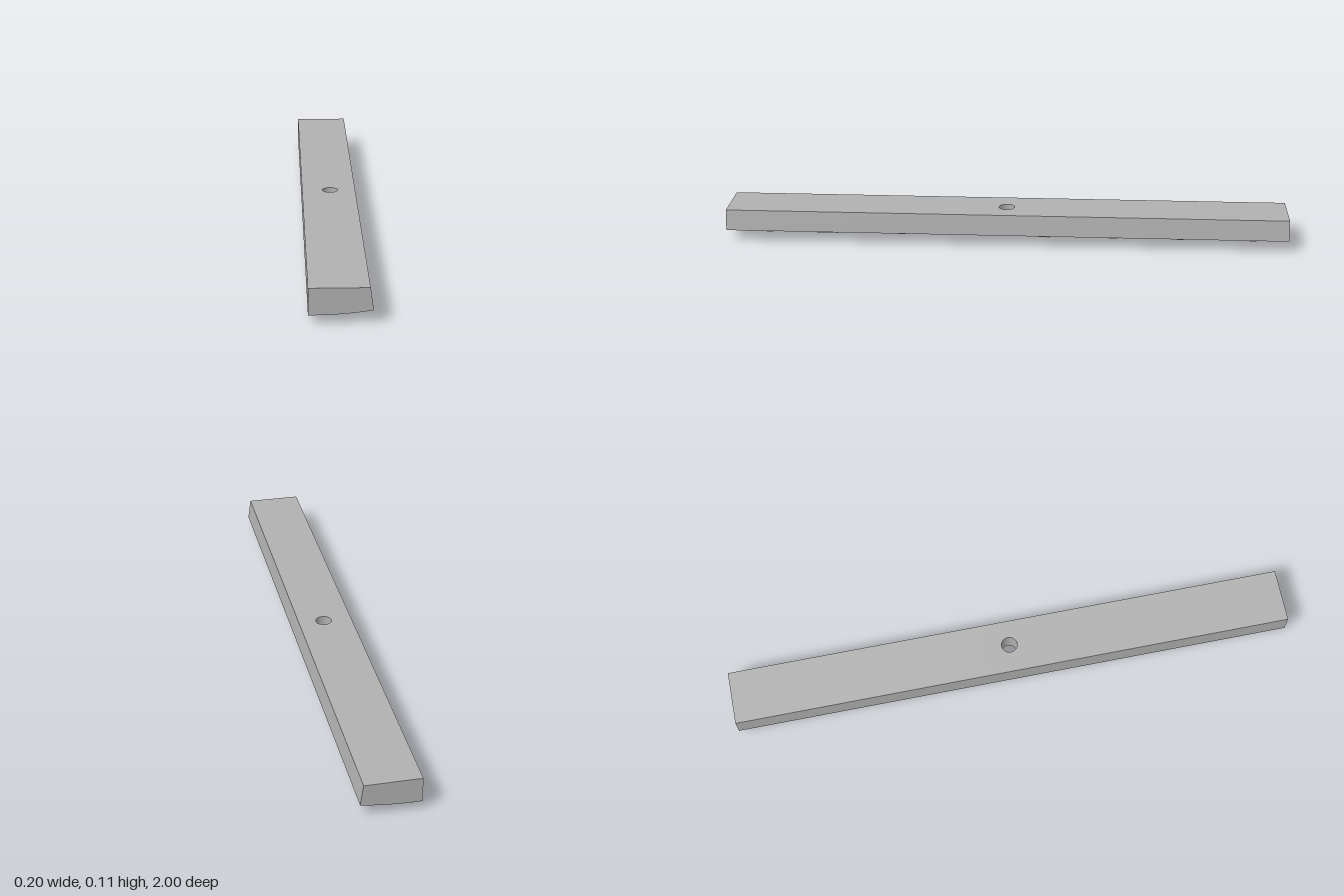
import * as THREE from 'three';

const TOP = 0.115;
const HOLE = 0.028;
const MID = 0.1; // half length of the drilled middle block

// Gently curved underside
const under = (x) => 0.0305 + 0.07 * x + 0.45 * x * x;

// End length of the bar: cross-section swept along z
function barEnd(z0, length) {
  const s = new THREE.Shape();
  s.moveTo(-0.1, TOP);
  for (let i = 0; i <= 12; i++) {
    const x = -0.1 + (0.2 * i) / 12;
    s.lineTo(x, under(x));
  }
  s.lineTo(0.09, TOP);
  return new THREE.ExtrudeGeometry(s, { depth: length, bevelEnabled: false }).translate(0, 0, z0);
}

// Middle block: loops running from the round hole out to the square edge and back
function drilledBlock() {
  const N = 64;
  const point = (a, t, top) => {
    const c = Math.cos(a), s = Math.sin(a);
    const r = THREE.MathUtils.lerp(HOLE, MID / Math.max(Math.abs(c), Math.abs(s)), t);
    let x = r * c;
    const y = top ? TOP : under(x);
    if (top && t === 1 && x > 0) x *= 0.9;
    return [x, y, r * s];
  };
  const loops = [[0, true], [1, true], [1, false], [0.66, false], [0.33, false], [0, false], [0, true]];
  const pos = [];
  for (let k = 0; k < loops.length - 1; k++) {
    for (let i = 0; i < N; i++) {
      const a = (i / N) * Math.PI * 2, b = ((i + 1) / N) * Math.PI * 2;
      const p = point(a, ...loops[k]), q = point(b, ...loops[k]);
      const r = point(a, ...loops[k + 1]), s = point(b, ...loops[k + 1]);
      pos.push(...p, ...q, ...r, ...q, ...s, ...r);
    }
  }
  const g = new THREE.BufferGeometry();
  g.setAttribute('position', new THREE.Float32BufferAttribute(pos, 3));
  g.computeVertexNormals();
  return g;
}

// Raised relief: a plan shape (x, -z) hung below the curved underside
function relief(shape, z) {
  const g = new THREE.ExtrudeGeometry(shape, { depth: 1, bevelEnabled: false, curveSegments: 20 });
  g.rotateX(-Math.PI / 2).translate(0, 0, z);
  const p = g.attributes.position;
  for (let i = 0; i < p.count; i++) {
    p.setY(i, under(p.getX(i)) + (p.getY(i) > 0.5 ? 0.004 : -0.0275));
  }
  g.computeVertexNormals();
  return g;
}

function arcShape(from, to) {
  const a = THREE.MathUtils.degToRad(from), b = THREE.MathUtils.degToRad(to);
  const s = new THREE.Shape();
  s.absarc(-0.042, 0, 0.045, a, b, false);
  s.absarc(-0.042, 0, 0.032, b, a, true);
  s.closePath();
  return s;
}

function barShape(x, z, w, l) {
  const s = new THREE.Shape();
  s.moveTo(x - w / 2, -z - l / 2);
  s.lineTo(x + w / 2, -z - l / 2);
  s.lineTo(x + w / 2, -z + l / 2);
  s.lineTo(x - w / 2, -z + l / 2);
  s.closePath();
  return s;
}

// Each relief: z position, arc angles, then small ribs [x, z offset, width, length]
const RELIEFS = [
  [-0.88, -90, 100, [[-0.08, -0.055, 0.014, 0.06], [-0.06, 0.01, 0.03, 0.012]]],
  [-0.62, -90, 100, [[-0.08, 0, 0.014, 0.09], [-0.055, -0.05, 0.03, 0.012]]],
  [-0.38, -100, 100, [[-0.075, 0, 0.014, 0.04], [-0.065, -0.04, 0.04, 0.012]]],
  [-0.13, -170, 120, [[-0.01, -0.02, 0.03, 0.01], [-0.08, -0.045, 0.014, 0.03], [-0.042, 0.04, 0.012, 0.03]]],
  [0.11, 20, 300, [[-0.02, -0.04, 0.04, 0.012]]],
  [0.375, -90, 100, [[-0.08, -0.05, 0.014, 0.06], [-0.08, 0.02, 0.014, 0.06]]],
  [0.62, -180, 150, [[-0.005, 0.03, 0.014, 0.08]]],
  [0.865, -160, 170, [[-0.06, 0, 0.05, 0.012], [-0.08, 0.055, 0.014, 0.02]]],
];

export function createModel() {
  const group = new THREE.Group();
  const grey = new THREE.MeshStandardMaterial({ color: 0xb0b0b0 });
  grey.name = 'plain grey';
  const add = (name, geometry) => {
    const mesh = new THREE.Mesh(geometry, grey);
    mesh.name = name;
    group.add(mesh);
  };

  add('barFront', barEnd(MID, 1 - MID));
  add('barBack', barEnd(-1, 1 - MID));
  add('drilledMiddle', drilledBlock());

  for (const [z, from, to, ribs] of RELIEFS) {
    add('reliefArc', relief(arcShape(from, to), z));
    for (const rib of ribs) add('reliefRib', relief(barShape(...rib), z));
  }
  return group;
}
